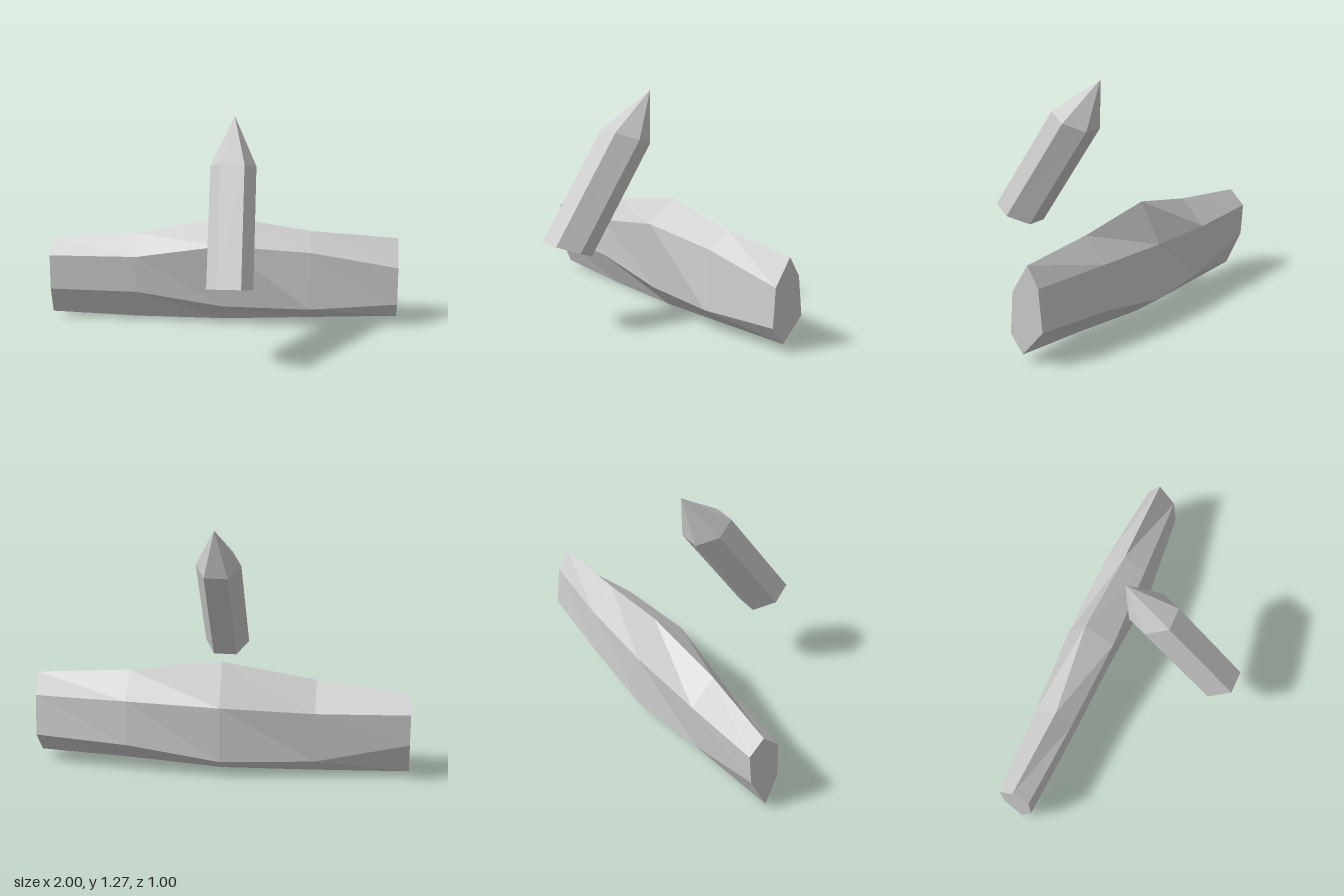
import * as THREE from 'three';

// Skin a row of rings (counter-clockwise seen from the last ring) and close both ends with fans.
function loft(rings, tip) {
  const pos = [];
  const tri = (...pts) => pts.forEach((p) => pos.push(...p));
  const centre = (ring) => [0, 1, 2].map((k) => ring.reduce((s, p) => s + p[k], 0) / ring.length);
  const first = rings[0];
  const last = rings[rings.length - 1];
  const start = centre(first);
  const end = tip ?? centre(last);
  const n = first.length;
  for (let j = 0; j < n; j++) {
    const k = (j + 1) % n;
    for (let i = 0; i < rings.length - 1; i++) {
      const [a, b] = [rings[i], rings[i + 1]];
      tri(a[j], a[k], b[k]);
      tri(a[j], b[k], b[j]);
    }
    tri(first[k], first[j], start);
    tri(last[j], last[k], end);
  }
  const geo = new THREE.BufferGeometry();
  geo.setAttribute('position', new THREE.Float32BufferAttribute(pos, 3));
  geo.computeVertexNormals();
  return geo;
}

export function createModel() {
  const group = new THREE.Group();
  const grey = new THREE.MeshStandardMaterial({ color: 0xcccccc, flatShading: true });
  grey.name = 'stone grey';

  const add = (name, geometry) => {
    const mesh = new THREE.Mesh(geometry, grey);
    mesh.name = name;
    group.add(mesh);
  };

  // Long uneven bar: [y, z] of top, front upper, front lower, bottom, back lower, back upper
  const sections = [
    [[0.48, -0.365], [0.4, -0.275], [0.195, -0.275], [0.03, -0.345], [0.22, -0.437], [0.395, -0.45]],
    [[0.525, -0.335], [0.41, -0.245], [0.195, -0.25], [0.01, -0.345], [0.1, -0.44], [0.385, -0.47]],
    [[0.62, -0.38], [0.495, -0.215], [0.115, -0.25], [0.0, -0.355], [0.095, -0.5], [0.4, -0.495]],
    [[0.545, -0.365], [0.455, -0.24], [0.12, -0.215], [0.025, -0.34], [0.165, -0.5], [0.41, -0.485]],
    [[0.51, -0.367], [0.36, -0.275], [0.143, -0.262], [0.045, -0.335], [0.18, -0.457], [0.4, -0.432]],
  ];
  add('bar', loft(sections.map((s, i) => s.map(([y, z]) => [-1 + i * 0.5, y, z]))));

  // Leaning six-sided crystal with a pointed tip
  const cx = 0.07;
  const hexagon = (front, side, back) => [
    [cx + 0.065, ...front], [cx + 0.125, ...side], [cx + 0.065, ...back],
    [cx - 0.065, ...back], [cx - 0.125, ...side], [cx - 0.065, ...front],
  ];
  // The upper front edge of each slanted ring comes first
  const base = hexagon([0.505, 0.5], [0.463, 0.385], [0.42, 0.27]);
  const shoulder = hexagon([1.075, 0.117], [1.032, 0.002], [0.99, -0.113]);
  add('crystal', loft([base, shoulder], [cx, 1.27, -0.16]));

  return group;
}
